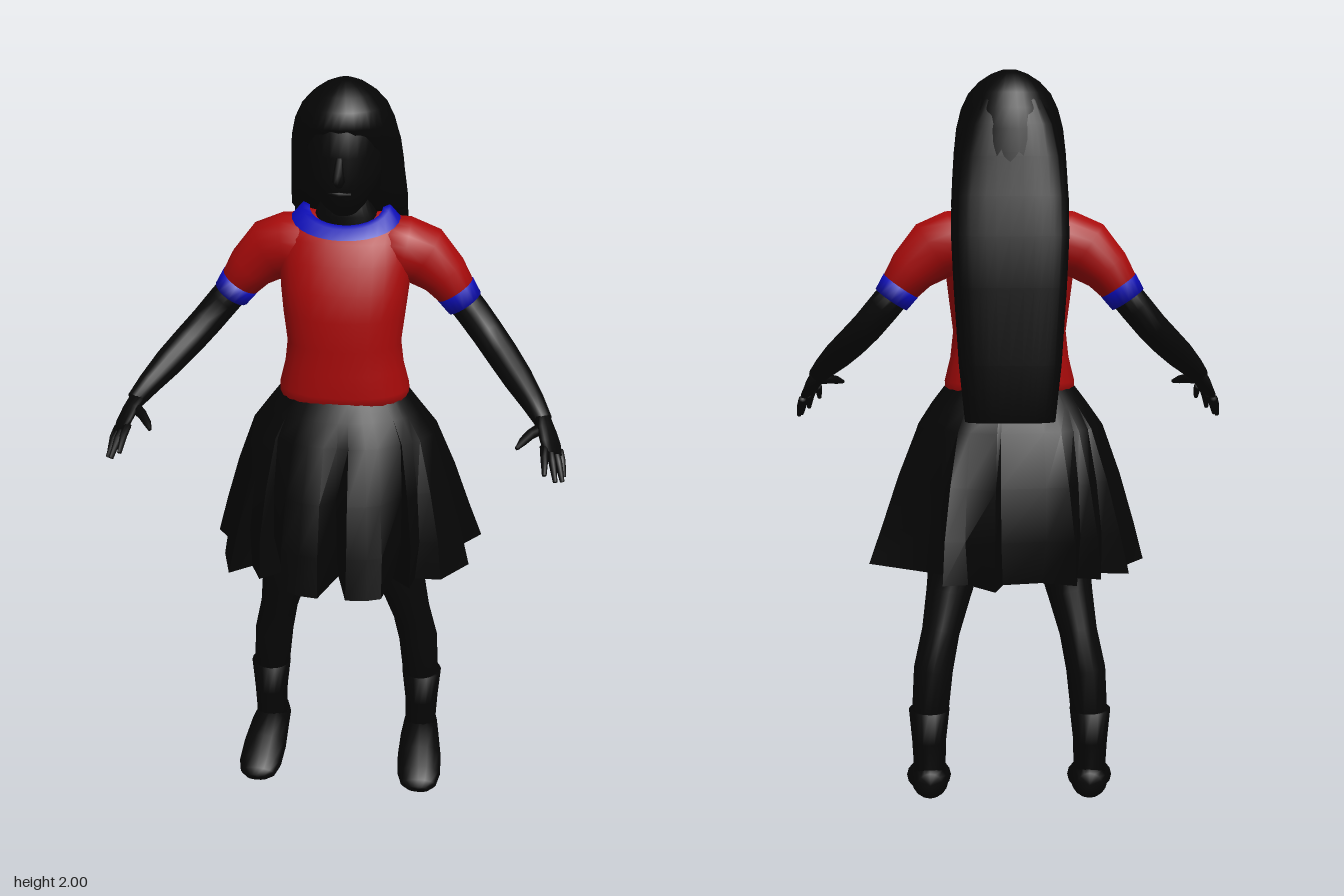
import * as THREE from 'three';
import { toCreasedNormals } from 'three/addons/utils/BufferGeometryUtils.js';

const material = (name, color, side = THREE.FrontSide) => {
  const m = new THREE.MeshStandardMaterial({ color, side });
  m.name = name;
  return m;
};
const V = (x, y, z) => new THREE.Vector3(x, y, z);

// Skin over rings of equal point count, closed at the ends unless open
function loft(rings, open = false) {
  const n = rings[0].length, pos = [], idx = [];
  rings.forEach(r => r.forEach(p => pos.push(p.x, p.y, p.z)));
  for (let j = 0; j < rings.length - 1; j++) {
    for (let i = 0; i < n; i++) {
      const k = (i + 1) % n, a = j * n, b = a + n;
      idx.push(a + i, a + k, b + k, a + i, b + k, b + i);
    }
  }
  if (!open) {
    [[0, true], [rings.length - 1, false]].forEach(([j, flip]) => {
      const c = rings[j].reduce((s, p) => s.add(p), V(0, 0, 0)).divideScalar(n);
      const ci = pos.length / 3;
      pos.push(c.x, c.y, c.z);
      for (let i = 0; i < n; i++) {
        const a = j * n + i, b = j * n + (i + 1) % n;
        idx.push(ci, flip ? b : a, flip ? a : b);
      }
    });
  }
  const g = new THREE.BufferGeometry();
  g.setAttribute('position', new THREE.Float32BufferAttribute(pos, 3));
  g.setIndex(idx);
  g.computeVertexNormals();
  return g;
}

// Limb along sections [x, y, z, radius along ref, other radius], mirrored by s
function limb(sections, ref, s = 1, sides = 14) {
  const c = sections.map(q => V(q[0] * s, q[1], q[2]));
  return loft(sections.map((q, j) => {
    const t = c[Math.min(j + 1, c.length - 1)].clone().sub(c[Math.max(j - 1, 0)]).normalize();
    const v = V(ref[0] * s, ref[1], ref[2]);
    v.addScaledVector(t, -v.dot(t)).normalize();
    const w = t.clone().cross(v);
    return Array.from({ length: sides }, (_, i) => {
      const a = i / sides * Math.PI * 2;
      return c[j].clone().addScaledVector(v, Math.cos(a) * q[3])
        .addScaledVector(w, Math.sin(a) * (q[4] ?? q[3]));
    });
  }));
}

// Level rings [y, half width, front z, back z, drop of the front half] listed upwards
function stack(sections, { sides = 28, power = 1, ripple = 0, open = false } = {}) {
  const shape = v => Math.sign(v) * Math.abs(v) ** power;
  return loft(sections.map(([y, rx, zf, zb, drop = 0]) =>
    Array.from({ length: sides }, (_, i) => {
      const a = i / sides * Math.PI * 2, k = 1 + ripple * Math.cos(i * Math.PI);
      const dz = shape(Math.cos(a)) * k * (zf - zb) / 2;
      return V(shape(Math.sin(a)) * k * rx, y - drop * Math.max(dz, 0), (zf + zb) / 2 + dz);
    })), open);
}

// Pleated hem outline [x, z], counter-clockwise from the front
const HEM = [
  [0, .12], [.035, .255], [.09, .26], [.13, .25], [.15, .14], [.2, .195], [.21, .14],
  [.28, .15], [.35, .065], [.30, -.02], [.375, -.11], [.22, -.15], [.16, -.17], [.175, -.285],
  [.11, -.25], [.04, -.305], [.02, -.22], [-.08, -.22], [-.17, -.285], [-.17, -.2],
  [-.235, -.24], [-.235, -.17], [-.31, -.205], [-.3, -.12], [-.36, -.05], [-.31, .01],
  [-.32, .08], [-.29, .185], [-.235, .13], [-.205, .195], [-.15, .14], [-.14, .235],
  [-.09, .255], [-.04, .255]];

function skirtGeometry() {
  // [height, half width, half depth, share of hem shape]
  const levels = [[.675, .35, .27, 1], [.79, .295, .235, .6], [.93, .265, .205, .33],
    [1.07, .24, .163, .08], [1.13, .208, .142, 0], [1.175, .174, .115, 0]];
  const rings = levels.map(([y, rx, rz, m]) => HEM.map(([x, z]) => {
    const a = Math.atan2(x, z + .02);
    return V(THREE.MathUtils.lerp(Math.sin(a) * rx, x, m),
      y + m * Math.abs(x) * .09,
      THREE.MathUtils.lerp(Math.cos(a) * rz - .018, z, m));
  }));
  return toCreasedNormals(loft(rings, true), 0.7);
}

export function createModel() {
  const model = new THREE.Group();
  model.name = 'girl';
  const skin = material('skin', 0x070707);
  const hair = material('hair', 0x050505);
  const cloth = material('skirtCloth', 0x050505, THREE.DoubleSide);
  const red = material('shirtRed', 0xa80a0a);
  const blue = material('trimBlue', 0x0a0ab4, THREE.DoubleSide);
  const add = (name, geometry, mat) => {
    const mesh = new THREE.Mesh(geometry, mat);
    mesh.name = name;
    model.add(mesh);
  };

  // Shirt body and neckline
  add('shirt', stack([
    [1.15, .172, .095, -.125], [1.19, .173, .1, -.135], [1.25, .158, .1, -.125],
    [1.32, .15, .1, -.118], [1.4, .16, .103, -.125], [1.47, .168, .092, -.138],
    [1.54, .172, .07, -.148], [1.6, .165, .045, -.147, .1], [1.642, .138, .033, -.135, .4],
    [1.657, .108, .018, -.12, .6]], { power: .9 }), red);
  add('collar', stack([
    [1.642, .141, .047, -.139, .42], [1.672, .114, .03, -.124, .58],
    [1.666, .095, .008, -.108, .58]], { open: true }), blue);
  add('neck', stack([[1.59, .085, 0, -.1], [1.65, .08, -.002, -.1], [1.72, .05, 0, -.1]]), skin);

  // Head and nose
  add('head', stack([
    [1.665, .035, .035, -.09], [1.69, .055, .074, -.1], [1.715, .07, .086, -.11],
    [1.745, .085, .097, -.12], [1.78, .096, .103, -.13], [1.83, .102, .1, -.14],
    [1.9, .1, .1, -.14], [1.95, .07, .06, -.11]]), skin);
  add('nose', limb([[0, 1.83, .095, .008], [0, 1.79, .108, .014, .015],
    [0, 1.775, .107, .016, .016], [0, 1.762, .095, .01]], [1, 0, 0], 1, 8), skin);
  add('lips', limb([[-.028, 1.737, .086, .004], [0, 1.737, .094, .008], [.028, 1.737, .086, .004]],
    [0, 1, 0], 1, 8), skin);

  // Hair cap and long straight back
  add('hairCap', stack([
    [1.65, .15, -.045, -.185], [1.72, .147, -.01, -.18], [1.79, .143, .03, -.172],
    [1.85, .137, .072, -.165], [1.9, .125, .103, -.155], [1.94, .106, .09, -.138],
    [1.97, .078, .06, -.11], [1.99, .047, .03, -.08], [2, .02, 0, -.05]],
  { sides: 40, ripple: .012 }), hair);
  add('longHair', stack([
    [1.1, .115, -.138, -.2], [1.25, .13, -.142, -.208], [1.45, .142, -.145, -.217],
    [1.58, .148, -.13, -.207], [1.68, .147, -.09, -.19], [1.78, .138, -.04, -.172],
    [1.86, .12, -.01, -.16], [1.92, .09, -.01, -.138], [1.955, .06, -.01, -.11]],
  { sides: 40, power: .75, ripple: .02 }), hair);

  add('skirt', skirtGeometry(), cloth);
  add('hips', stack([[.88, .15, .08, -.13], [.97, .17, .09, -.14], [1.16, .165, .09, -.12]]), skin);

  for (const s of [1, -1]) {
    const side = s > 0 ? 'left' : 'right';
    // Sleeve, cuff and arm
    add(side + 'Sleeve', limb([
      [.08, 1.562, -.055, .085, .083], [.15, 1.555, -.06, .082, .086],
      [.2, 1.537, -.066, .073, .082], [.255, 1.487, -.068, .06, .064],
      [.305, 1.42, -.07, .05, .047]], [0, 0, 1], s, 18), red);
    add(side + 'Cuff', limb([[.285, 1.446, -.07, .057, .055], [.31, 1.41, -.07, .053, .05]],
      [0, 0, 1], s, 18), blue);
    add(side + 'Arm', limb([
      [.28, 1.45, -.07, .044], [.33, 1.39, -.065, .044], [.375, 1.337, -.045, .043],
      [.418, 1.293, -.003, .042], [.46, 1.253, .05, .039], [.502, 1.212, .106, .031],
      [.53, 1.182, .15, .024]], [0, 0, 1], s), skin);

    // Hand with four fingers and thumb
    const spread = [.5, -.35, -.8];
    add(side + 'Palm', limb([
      [.525, 1.188, .138, .024, .02], [.54, 1.165, .17, .036, .017],
      [.552, 1.14, .2, .042, .015], [.56, 1.122, .22, .036, .011]], spread, s, 12), skin);
    [[.54, 1.1, .305], [.568, 1.074, .285], [.586, 1.06, .252], [.59, 1.06, .222]].forEach((tip, i) => {
      const root = [.536 + i * .013, 1.142 - i * .01, .226 - i * .016];
      const mid = root.map((r, k) => (r + tip[k]) / 2 + (k === 1 ? .008 : 0));
      add(side + 'Finger' + (i + 1),
        limb([[...root, .011], [...mid, .01], [...tip, .006]], spread, s, 8), skin);
    });
    add(side + 'Thumb', limb([[.532, 1.17, .165, .016], [.5, 1.165, .205, .013],
      [.482, 1.158, .235, .011], [.468, 1.15, .262, .005]], [0, 1, 0], s, 8), skin);

    // Leg, boot shaft and shoe
    add(side + 'Leg', limb([
      [.09, 1, -.01, .095, .08], [.12, .85, .01, .09, .08], [.147, .7, .02, .08, .074],
      [.167, .6, .002, .07, .062], [.188, .5, -.03, .068, .052], [.208, .4, -.05, .061, .054],
      [.218, .27, -.055, .054, .05]], [0, 0, 1], s, 18), skin);
    add(side + 'BootShaft', limb([
      [.22, .288, -.055, .058, .056], [.221, .2, -.053, .054, .047],
      [.22, .13, -.053, .054, .044], [.22, .08, -.053, .055, .045]], [0, 0, 1], s, 18), cloth);
    add(side + 'Shoe', limb([
      [.217, .09, -.122, .036, .035], [.218, .09, -.09, .048, .046], [.221, .085, -.02, .055, .054],
      [.226, .06, .05, .062, .047], [.23, .038, .11, .061, .036], [.232, .026, .145, .05, .024],
      [.232, .02, .16, .03, .013]], [1, 0, 0], s, 16), cloth);
  }
  return model;
}
